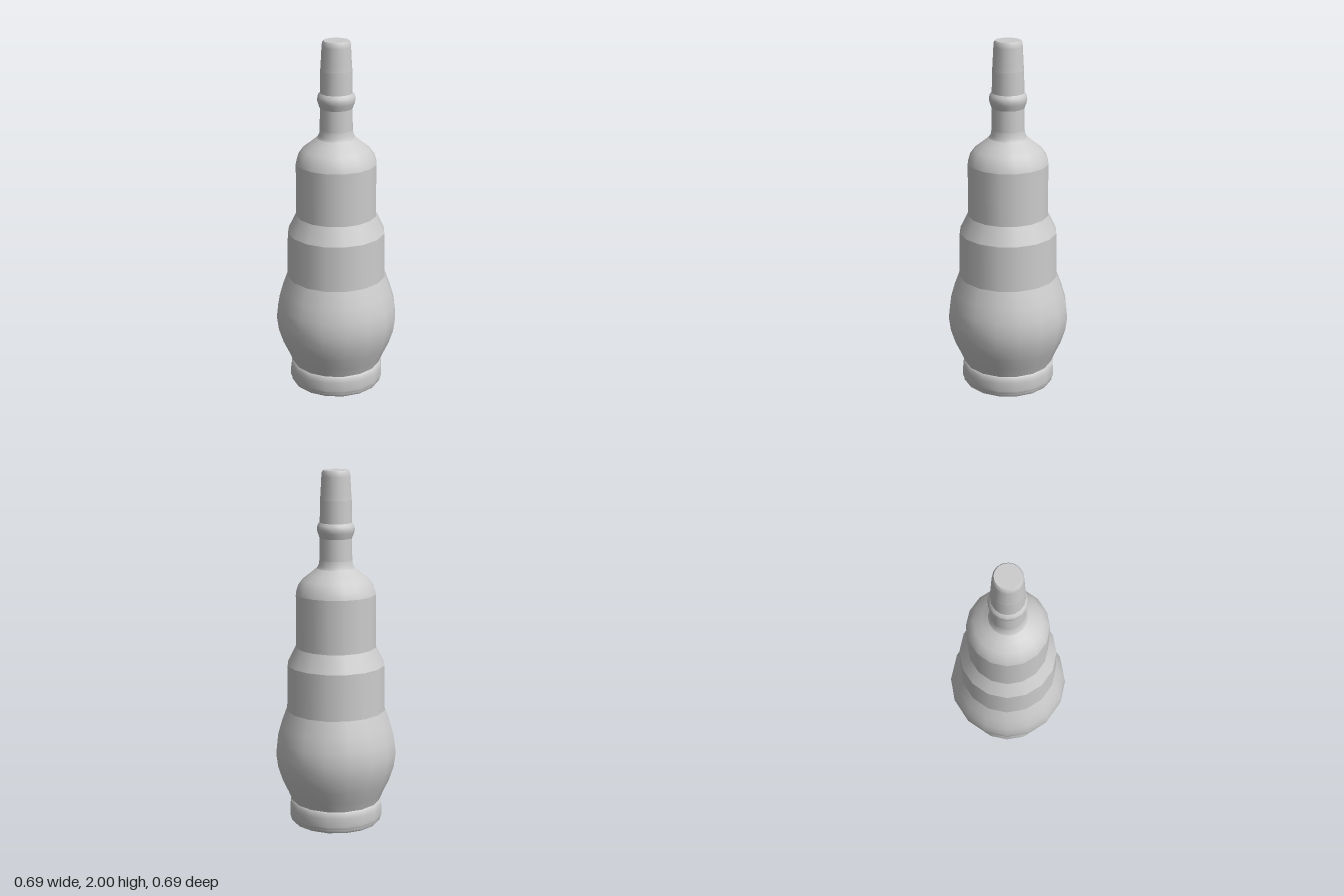
import * as THREE from 'three';

const SIDES = 16;

export function createModel() {
  const group = new THREE.Group();
  group.name = 'bottle';
  const grey = new THREE.MeshStandardMaterial({ color: 0xcccccc });
  grey.name = 'plain grey';

  // Each section is its own lathe, so normals are smooth inside it and sharp at its ends.
  // Profile points are [radius, height], from bottom to top.
  const sections = {
    bottomCap: [[0, 0], [0.25, 0]],
    footRim: [[0.25, 0], [0.258, 0.008], [0.26, 0.022]],
    footBand: [[0.26, 0.022], [0.267, 0.04], [0.266, 0.09], [0.262, 0.115], [0.252, 0.125]],
    bulge: [[0.252, 0.125], [0.275, 0.18], [0.308, 0.25], [0.334, 0.33], [0.345, 0.41],
      [0.336, 0.49], [0.313, 0.57], [0.28, 0.66]],
    waistBand: [[0.28, 0.66], [0.275, 0.92]],
    waistSlope: [[0.275, 0.92], [0.226, 1.02]],
    upperBody: [[0.226, 1.02], [0.226, 1.32]],
    shoulder: [[0.226, 1.32], [0.214, 1.36], [0.185, 1.4], [0.142, 1.433], [0.106, 1.463]],
    neckFillet: [[0.106, 1.463], [0.096, 1.48], [0.092, 1.51]],
    lowerNeck: [[0.092, 1.51], [0.09, 1.63]],
    neckRing: [[0.09, 1.63], [0.101, 1.66], [0.106, 1.68], [0.102, 1.7], [0.09, 1.715]],
    upperNeck: [[0.09, 1.715], [0.088, 1.84]],
    stopper: [[0.088, 1.84], [0.086, 1.86], [0.08, 1.97]],
    stopperEdge: [[0.08, 1.97], [0.078, 1.988], [0.07, 2]],
    topCap: [[0.07, 2], [0, 2]],
  };

  for (const [name, profile] of Object.entries(sections)) {
    const points = profile.map(([r, y]) => new THREE.Vector2(r, y));
    const mesh = new THREE.Mesh(new THREE.LatheGeometry(points, SIDES), grey);
    mesh.name = name;
    group.add(mesh);
  }
  return group;
}
